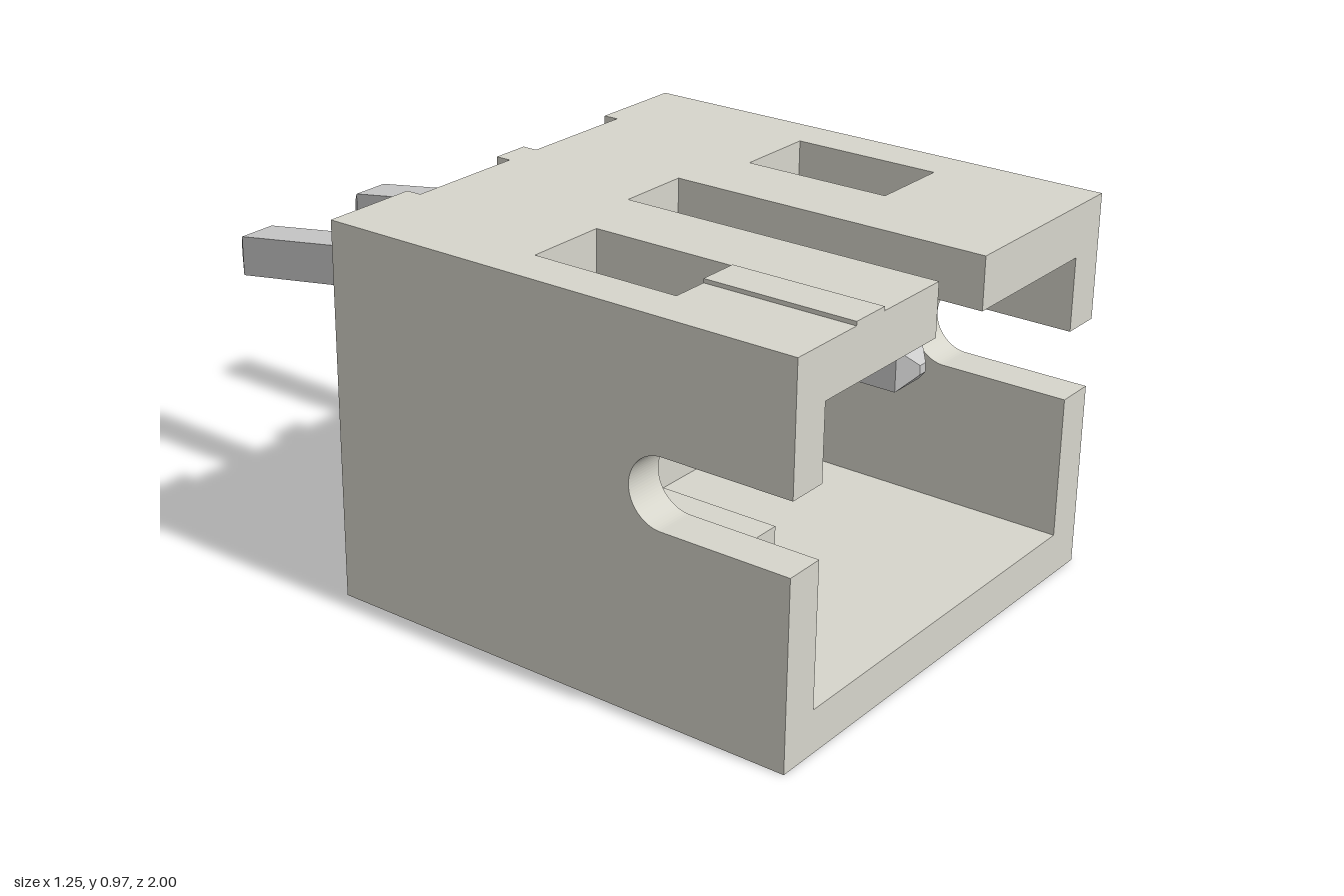
import * as THREE from 'three';

const shell = new THREE.MeshStandardMaterial({ color: 0xd6d5cb });
const metal = new THREE.MeshStandardMaterial({ color: 0xcccccc, flatShading: true });

// Housing extents
const W = 0.625, H = 0.96, FRONT = 1, BACK = -0.275;
// Cavity extents
const CW = 0.52, FLOOR = 0.11, CEIL = 0.83, CBACK = 0.1;
const RECESS = -0.235; // deepest plane of the rear recesses

export function createModel() {
  const group = new THREE.Group();

  const add = (name, geometry, material = shell) => {
    const mesh = new THREE.Mesh(geometry, material);
    mesh.name = name;
    group.add(mesh);
  };

  const box = (name, x0, x1, y0, y1, z0, z1) => {
    const g = new THREE.BoxGeometry(x1 - x0, y1 - y0, z1 - z0);
    g.translate((x0 + x1) / 2, (y0 + y1) / 2, (z0 + z1) / 2);
    add(name, g);
  };

  // Extrudes a (-z, y) outline along x, from x0 to x1
  const extrudeX = (name, shape, x0, x1) => {
    const g = new THREE.ExtrudeGeometry(shape, { depth: x1 - x0, bevelEnabled: false, curveSegments: 20 });
    g.rotateY(Math.PI / 2).translate(x0, 0, 0);
    add(name, g);
  };

  // Side walls with a round-ended slot open to the front
  const slotLow = 0.47, slotHigh = 0.645, r = (slotHigh - slotLow) / 2;
  const side = new THREE.Shape();
  side.moveTo(-FRONT, 0);
  side.lineTo(-BACK, 0);
  side.lineTo(-BACK, H);
  side.lineTo(-FRONT, H);
  side.lineTo(-FRONT, slotHigh);
  side.lineTo(-0.58 - r, slotHigh);
  side.absarc(-0.58 - r, slotLow + r, r, Math.PI / 2, -Math.PI / 2, true);
  side.lineTo(-FRONT, slotLow);
  extrudeX('leftWall', side, CW, W);
  extrudeX('rightWall', side, -W, -CW);

  // Top wall, drawn in (x, z), with a central keyway and two windows
  const key = 0.097, keyEnd = 0.165;
  const top = new THREE.Shape([
    [-CW, CBACK], [CW, CBACK], [CW, FRONT], [key, FRONT],
    [key, keyEnd], [-key, keyEnd], [-key, FRONT], [-CW, FRONT],
  ].map(([x, z]) => new THREE.Vector2(x, z)));
  for (const s of [-1, 1]) {
    const hole = [[0.295, 0.23], [0.51, 0.23], [0.51, 0.615], [0.295, 0.615]];
    top.holes.push(new THREE.Path(hole.map(([x, z]) => new THREE.Vector2(s * x, z))));
  }
  const topGeometry = new THREE.ExtrudeGeometry(top, { depth: H - CEIL, bevelEnabled: false });
  topGeometry.rotateX(Math.PI / 2).translate(0, H, 0);
  add('topWall', topGeometry);

  // Floor, back wall, guide rib and the raised marker strip
  box('floor', -CW, CW, 0, FLOOR, CBACK, FRONT);
  box('backWall', -CW, CW, 0, H, RECESS, CBACK);
  box('guideRib', -0.04, 0.04, FLOOR, 0.17, CBACK, 0.51);
  box('markerStrip', -0.415, -0.31, H, 0.97, 0.615, FRONT);

  // Rear ribs with shallow, slightly crowned panels between them
  box('rearCentreRib', -0.05, 0.05, 0, H, BACK, RECESS);
  const panel = new THREE.Shape([
    [RECESS, 0], [-0.255, 0.67], [RECESS, H],
  ].map(([z, y]) => new THREE.Vector2(-z, y)));
  for (const s of [-1, 1]) {
    const span = (a, b) => (s > 0 ? [a, b] : [-b, -a]);
    box('rearSideRib', ...span(0.37, CW), 0, H, BACK, RECESS);
    extrudeX('rearPanel', panel, ...span(0.05, 0.37));
  }

  // Bent square contact pins
  for (const s of [-1, 1]) add('pin', pinGeometry(s * 0.212), metal);

  return group;
}

// Lofts square sections [z, centre y, half size] from the front tip to the rear tip
function pinGeometry(x) {
  const h = 0.053;
  const rings = [
    [0.79, 0.598, 0.012], [0.75, 0.598, h], [-0.47, 0.598, h],
    [-0.6, 0.662, h], [-0.96, 0.605, h], [-1, 0.603, 0.018],
  ].map(([z, y, a]) => [[-a, -a], [a, -a], [a, a], [-a, a]].map(([dx, dy]) => [x + dx, y + dy, z]));
  const pos = [];
  const quad = (a, b, c, d) => pos.push(...a, ...b, ...c, ...a, ...c, ...d);
  for (let i = 0; i < rings.length - 1; i++) {
    const p = rings[i], q = rings[i + 1];
    for (let j = 0; j < 4; j++) {
      const k = (j + 1) % 4;
      quad(p[j], q[j], q[k], p[k]);
    }
  }
  quad(...rings[0]);
  quad(...rings[rings.length - 1].slice().reverse());
  const g = new THREE.BufferGeometry();
  g.setAttribute('position', new THREE.Float32BufferAttribute(pos, 3));
  g.computeVertexNormals();
  return g;
}
